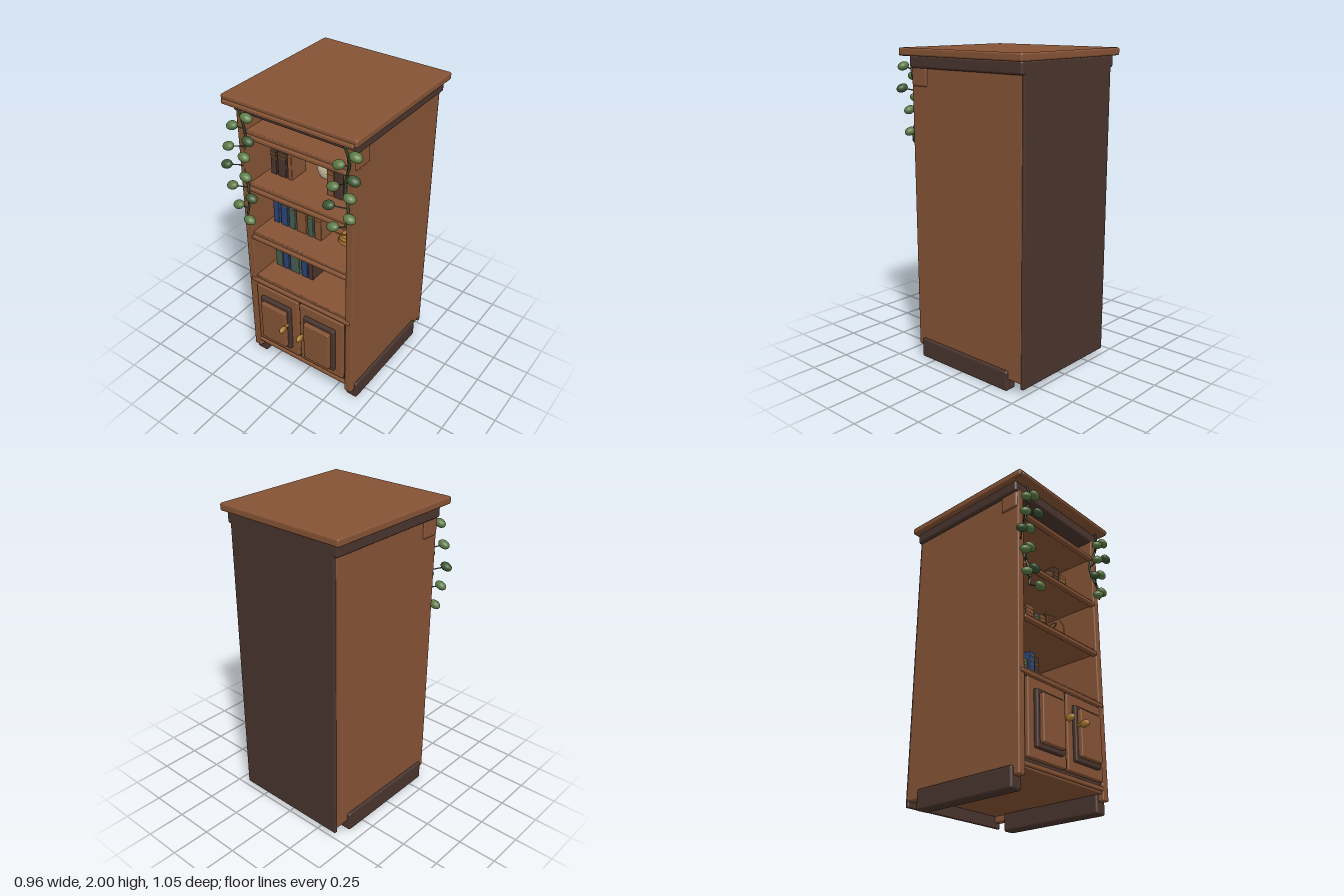
import * as THREE from 'three';
import { RoundedBoxGeometry } from 'three/addons/geometries/RoundedBoxGeometry.js';

const mat = (name, color) => Object.assign(new THREE.MeshStandardMaterial({ color }), { name });

export function createModel() {
  const M = {
    wood: mat('wood', 0x855335), dark: mat('darkWood', 0x49342d), gold: mat('brass', 0xa9752f),
    blue: mat('blue', 0x2c4577), green: mat('bookGreen', 0x475c4d), cream: mat('cream', 0xcfc3a3),
    leaf: mat('leafLight', 0x5c7a45), leafDark: mat('leafDark', 0x3c5733), stem: mat('stem', 0x2f4529),
  };
  const model = new THREE.Group();
  const add = (name, geo, m, x = 0, y = 0, z = 0, parent = model) => {
    const mesh = new THREE.Mesh(geo, M[m]);
    mesh.name = name;
    mesh.position.set(x, y, z);
    parent.add(mesh);
    return mesh;
  };
  // Softened box given by its extents
  const box = (name, m, x0, x1, y0, y1, z0, z1, r = 0.008) => {
    const w = x1 - x0, h = y1 - y0, d = z1 - z0;
    return add(name, new RoundedBoxGeometry(w, h, d, 2, Math.min(r, Math.min(w, h, d) * 0.45)), m,
      (x0 + x1) / 2, (y0 + y1) / 2, (z0 + z1) / 2);
  };
  // Mirrored pair of boxes
  const pair = (name, m, x0, x1, ...rest) => {
    box(name + 'Left', m, x0, x1, ...rest);
    box(name + 'Right', m, -x1, -x0, ...rest);
  };

  // Carcass
  pair('sidePanel', 'wood', 0.35, 0.403, 0.075, 1.9, -0.485, 0.4);
  pair('plinthRunner', 'dark', 0.335, 0.42, 0, 0.13, -0.385, 0.36, 0.015);
  pair('cornerBlock', 'wood', 0.36, 0.413, 1.77, 1.89, 0.265, 0.395, 0.015);
  box('backPanel', 'dark', -0.4, 0.4, 0.04, 1.92, -0.5, -0.475);
  box('bottomBoard', 'wood', -0.355, 0.355, 0.115, 0.15, -0.48, 0.39);
  box('bottomRail', 'wood', -0.355, 0.355, 0.13, 0.157, 0.37, 0.405);
  box('innerBack', 'dark', -0.355, 0.355, 0.15, 1.9, -0.1, -0.08, 0.003);

  // Cornice and top
  box('cornice', 'dark', -0.425, 0.425, 1.88, 1.957, -0.5, 0.4, 0.015);
  box('topSlab', 'wood', -0.455, 0.455, 1.953, 2, -0.525, 0.462, 0.012);
  box('topMoulding', 'wood', -0.44, 0.44, 1.95, 1.975, 0.4, 0.478);

  // Shelves with a stepped front moulding
  for (const y of [0.71, 1.06, 1.42, 1.775]) {
    const w = y < 1 ? 0.385 : 0.352;
    box('shelf', 'wood', -0.352, 0.352, y - 0.035, y, -0.09, 0.39, 0.005);
    box('shelfMoulding', 'wood', -w, w, y - 0.046, y - 0.02, 0.37, 0.41);
  }

  // Cupboard doors
  box('cupboardFront', 'dark', -0.35, 0.35, 0.15, 0.68, 0.36, 0.385, 0.003);
  pair('door', 'wood', 0.008, 0.34, 0.18, 0.652, 0.375, 0.412);
  pair('doorInset', 'dark', 0.055, 0.291, 0.24, 0.585, 0.4, 0.437);
  pair('doorRaisedPanel', 'wood', 0.074, 0.27, 0.267, 0.56, 0.41, 0.465);
  for (const s of [-1, 1]) {
    const knob = add('doorKnob', new THREE.SphereGeometry(1, 20, 14), 'gold', s * 0.068, 0.455, 0.493);
    knob.scale.set(0.016, 0.023, 0.032);
    add('knobNeck', new THREE.CylinderGeometry(0.008, 0.008, 0.06, 12).rotateX(Math.PI / 2), 'gold', s * 0.068, 0.455, 0.46);
  }

  // Books: [left, right, height, colour]
  const rows = [
    [1.42, [[-0.315, -0.272, 0.165, 'dark'], [-0.262, -0.198, 0.178, 'dark'], [-0.188, -0.156, 0.204, 'wood'],
      [0.098, 0.145, 0.188, 'wood'], [0.151, 0.203, 0.246, 'dark'], [0.214, 0.277, 0.214, 'wood']]],
    [1.06, [[-0.315, -0.272, 0.245, 'blue'], [-0.256, -0.203, 0.198, 'blue'], [-0.193, -0.145, 0.182, 'green'],
      [-0.135, -0.06, 0.203, 'wood'], [-0.05, -0.008, 0.172, 'green'], [0.003, 0.055, 0.182, 'wood']]],
    [0.71, [[-0.315, -0.261, 0.213, 'green'], [-0.256, -0.208, 0.255, 'blue'], [-0.198, -0.124, 0.17, 'green'],
      [-0.108, -0.06, 0.234, 'blue'], [-0.055, -0.018, 0.213, 'dark']]],
  ];
  for (const [y, books] of rows) for (const [a, b, h, c] of books) {
    box('book', c, a, b, y, y + h, 0.09, 0.23, 0.005);
    for (const t of [0.74, 0.88]) {
      box('spineBand', 'gold', a + 0.002, b - 0.002, y + h * t - 0.003, y + h * t + 0.003, 0.224, 0.232, 0.001);
    }
  }

  // Vases
  const vase = (name, m, x, y, z, r, h) => {
    const pts = [[0, 0], [0.5, 0], [0.6, 0.03], [0.88, 0.22], [1, 0.45], [0.9, 0.65], [0.6, 0.82], [0.46, 0.88],
      [0.48, 0.94], [0.6, 1], [0.5, 1], [0.38, 0.93], [0.36, 0.86], [0, 0.84]];
    const curve = pts.map(([a, b]) => new THREE.Vector2(a * r, b * h));
    add(name, new THREE.LatheGeometry(curve, 32), m, x, y, z);
  };
  vase('creamVase', 'cream', -0.018, 1.42, 0.07, 0.058, 0.165);
  vase('brownVase', 'wood', 0.062, 0.71, 0.08, 0.057, 0.172);
  vase('blueVase', 'blue', 0.214, 0.71, 0.1, 0.051, 0.145);

  // Ring globe on a stand
  const globe = new THREE.Group();
  globe.name = 'ringGlobe';
  globe.position.set(0.184, 1.06, 0.12);
  model.add(globe);
  add('globeBase', new THREE.CylinderGeometry(0.062, 0.066, 0.022, 32), 'gold', 0, 0.011, 0, globe);
  add('globeBaseStep', new THREE.CylinderGeometry(0.048, 0.058, 0.018, 32), 'gold', 0, 0.03, 0, globe);
  add('globeStem', new THREE.CylinderGeometry(0.006, 0.009, 0.13, 12), 'gold', 0, 0.1, 0, globe);
  add('globeCore', new THREE.SphereGeometry(0.016, 16, 12), 'gold', 0, 0.165, 0, globe).scale.y = 1.7;
  for (const [rx, ry] of [[0, 0.785], [0, -0.785], [1.2, 0.5]]) {
    const r = rx ? 0.085 : 0.126;
    add('globeRing', new THREE.TorusGeometry(r, 0.005, 8, 48), 'gold', 0, 0.165, 0, globe).rotation.set(rx, ry, 0);
  }

  // Hanging vines: leaves step down alternately either side of the stem
  const vine = (name, leaves, stemX) => {
    const g = new THREE.Group();
    g.name = name;
    model.add(g);
    const low = leaves[leaves.length - 1][1];
    const path = [];
    for (let i = 0; i <= 8; i++) {
      const t = i / 8;
      path.push(new THREE.Vector3(stemX + 0.022 * Math.sin(t * 9), 1.93 + (low - 1.93) * t,
        0.412 + 0.022 * Math.cos(t * 6.28)));
    }
    const curve = new THREE.CatmullRomCurve3(path);
    add('vineStem', new THREE.TubeGeometry(curve, 48, 0.0075, 8), 'stem', 0, 0, 0, g);
    leaves.forEach(([x, y, z], i) => {
      const tip = new THREE.Vector3(x, y, z);
      const root = curve.getPoint(Math.min(1, Math.max(0, (1.95 - y) / (1.93 - low))));
      add('vineTwig', new THREE.TubeGeometry(new THREE.LineCurve3(root, tip), 2, 0.004, 6), 'stem', 0, 0, 0, g);
      const leaf = add('vineLeaf', new THREE.SphereGeometry(1, 20, 14), i % 3 === 2 ? 'leafDark' : 'leaf', x, y, z, g);
      leaf.scale.set(0.039, 0.026, 0.03);
      leaf.rotation.set(0.3, 0, x > stemX ? -0.25 : 0.3);
    });
  };
  const depths = [0.44, 0.457, 0.457, 0.473, 0.437, 0.468, 0.437, 0.468, 0.44, 0.457, 0.475];
  const place = (xs) => xs.map((x, i) => [x, 1.89 - i * 0.067, depths[i]]);
  vine('vineRight', place([-0.293, -0.388, -0.278, -0.415, -0.336, -0.446, -0.336, -0.415, -0.298, -0.388, -0.293]), -0.352);
  vine('vineLeft', place([0.436, 0.341, 0.436, 0.315, 0.399, 0.283, 0.399, 0.31]), 0.36);
  return model;
}
